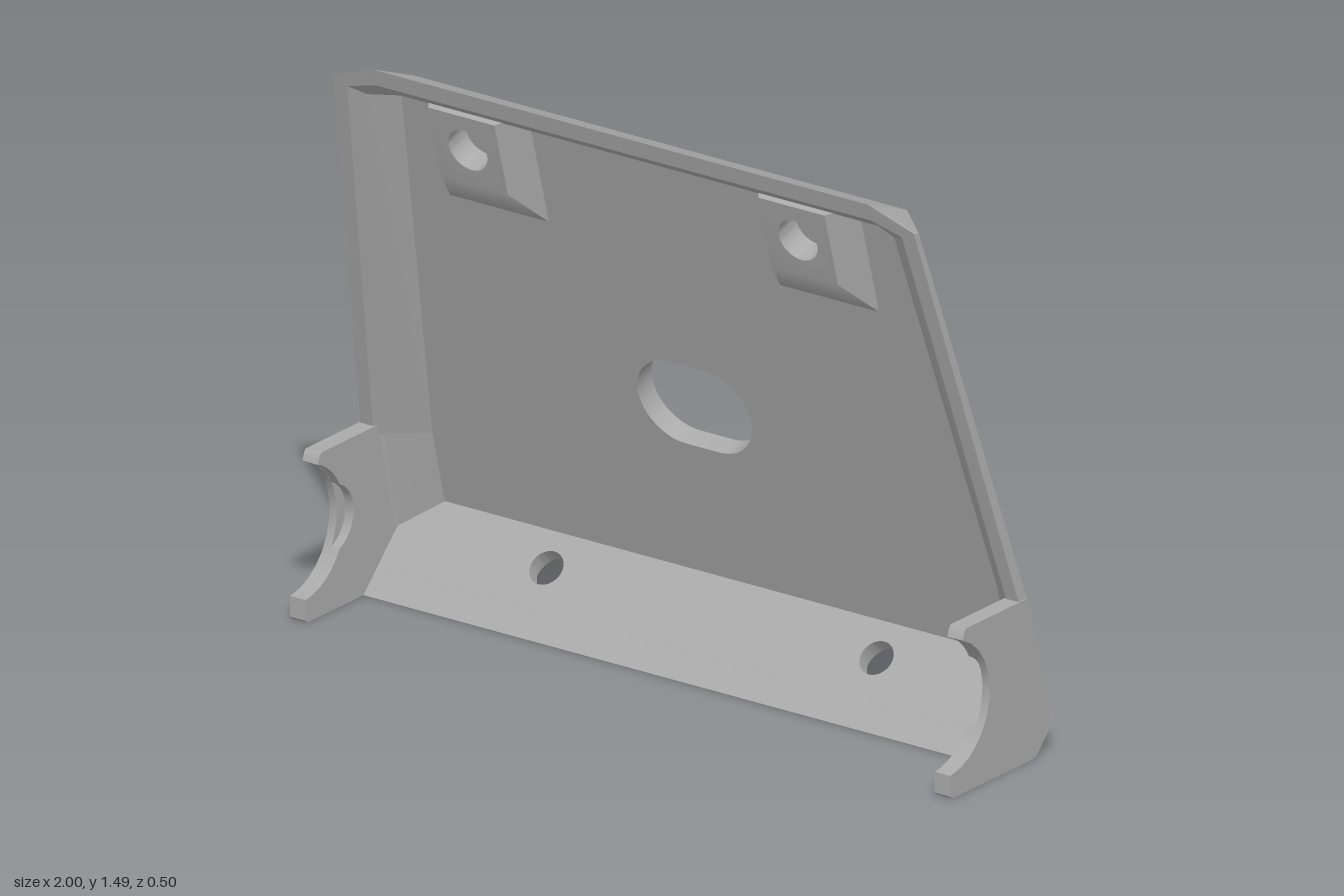
import * as THREE from 'three';
import { ConvexGeometry } from 'three/addons/geometries/ConvexGeometry.js';
import { toCreasedNormals } from 'three/addons/utils/BufferGeometryUtils.js';

const grey = new THREE.MeshStandardMaterial({ color: 0xaaaaaa });
grey.name = 'grey plastic';

const part = (name, geometry, parent) => {
  const mesh = new THREE.Mesh(geometry, grey);
  mesh.name = name;
  parent.add(mesh);
  return mesh;
};

// Convex solid around a few corner points
const hull = (points) => new ConvexGeometry(points.map((p) => new THREE.Vector3(...p)));

const polygon = (points) => new THREE.Shape(points.map((p) => new THREE.Vector2(...p)));

const extrude = (shape, depth) =>
  toCreasedNormals(new THREE.ExtrudeGeometry(shape, { depth, bevelEnabled: false, curveSegments: 20 }), 0.6);

const circle = (x, y, r) => new THREE.Path().absarc(x, y, r, 0, Math.PI * 2, true);

// Bar running along x from a list of [y, z] section points
const bar = (section, half) => hull([-half, half].flatMap((x) => section.map(([y, z]) => [x, y, z])));

// Points along an arc, in (z, y)
const arc = (cz, cy, r, a0, a1, n = 12) =>
  Array.from({ length: n + 1 }, (_, i) => {
    const a = a0 + ((a1 - a0) * i) / n;
    return [cz + r * Math.cos(a), cy + r * Math.sin(a)];
  });

// Arm outline in (z, y): bite is the list of points round the curved cutout
const armShape = (bite) => polygon([
  [-0.165, 0.075], [-0.1, 0.008], [-0.09, 0], [0.238, 0], [0.245, 0.007], [0.245, 0.061],
  ...bite, [0.187, 0.418], [0.18, 0.425], [-0.035, 0.425], [-0.068, 0.425],
]);

export function createModel() {
  const model = new THREE.Group();
  model.name = 'tiltedCover';

  // Sloping back panel, with its own frame: y up the slope, z out of the inner face
  const slope = new THREE.Group();
  slope.name = 'slopingBack';
  slope.position.set(0, 0.22, -0.25);
  slope.rotation.x = 0.271;
  model.add(slope);

  const panel = polygon([[-0.88, 0], [0.88, 0], [0.88, 0.187], [0.75, 1.251], [-0.75, 1.251], [-0.88, 0.187]]);
  const slot = new THREE.Path();
  slot.absarc(0.05, 0.507, 0.121, Math.PI / 2, -Math.PI / 2, true);
  slot.absarc(-0.05, 0.507, 0.121, -Math.PI / 2, -Math.PI * 1.5, true);
  slot.closePath();
  panel.holes.push(slot);
  part('backPanel', extrude(panel, 0.06), slope);

  // Screw bosses, flared where they meet the panel
  for (const s of [1, -1]) {
    const face = polygon([[-0.1, 1.075], [0.1, 1.075], [0.1, 1.28], [-0.1, 1.28]]);
    face.holes.push(circle(0, 1.18, 0.058));
    const raw = new THREE.ExtrudeGeometry(face, { depth: 0.072, bevelEnabled: false, curveSegments: 20 });
    const pos = raw.attributes.position;
    for (let i = 0; i < pos.count; i++) {
      if (pos.getZ(i) > 0.01) continue;
      const x = pos.getX(i), y = pos.getY(i);
      if (Math.abs(x) > 0.09) pos.setX(i, x + Math.sign(x) * 0.05);
      if (y < 1.09) pos.setY(i, y - 0.113);
    }
    part('screwBoss', toCreasedNormals(raw, 0.6), slope).position.set(0.5 * s, 0, 0.06);
  }

  // Slanted bottom wall in two layers, so that the screw holes are counterbored
  const bottom = new THREE.Group();
  bottom.name = 'bottomWall';
  bottom.position.set(0, 0, -0.1);
  bottom.rotation.x = -Math.PI / 4;
  model.add(bottom);
  for (const [name, w, depth, r] of [['bottomOuter', 0, 0.035, 0.07], ['bottomInner', 0.035, 0.043, 0.046]]) {
    const shape = polygon([[-1, 0], [1, 0], [1, 0.106], [0.88, 0.212], [-0.88, 0.212], [-1, 0.106]]);
    for (const s of [1, -1]) shape.holes.push(circle(0.5 * s, 0.113, r));
    part(name, extrude(shape, depth), bottom).position.z = w;
  }
  part('bottomEdge', bar([[0, -0.1], [0.055, -0.045], [0, 0.01]], 0.99), model);
  part('backCorner', bar([[0.15, -0.25], [0.22, -0.25], [0.205, -0.195]], 0.88), model);

  // Top wall
  const top = [[1.425, 0.085], [1.49, 0.245], [1.445, 0.233], [1.42, 0.2], [1.39, 0.135]];
  part('topWall', bar(top, 0.75), model);

  // Side walls: corners at the bottom, the kink and the top, from outer back round to inner back
  const stations = [
    [[0.88, 0.15, -0.25], [1, 0.075, -0.165], [1, 0.1, -0.125], [0.955, 0.1, -0.125], [0.95, 0.14, -0.13], [0.855, 0.205, -0.195]],
    [[0.88, 0.4, -0.2], [1, 0.4, -0.075], [1, 0.4, -0.042], [0.962, 0.4, -0.042], [0.945, 0.4, -0.065], [0.855, 0.4, -0.138]],
    [[0.75, 1.425, 0.085], [0.88, 1.435, 0.212], [0.88, 1.44, 0.232], [0.84, 1.42, 0.227], [0.8, 1.4, 0.2], [0.74, 1.39, 0.135]],
  ];
  const bigBite = (from, to) => arc(0.26, 0.235, 0.175, from, to);
  const plainBite = bigBite(-1.66, -4.33);
  const recessBite = [
    ...bigBite(-1.66, -2.647),
    ...arc(0.14, 0.235, 0.09, -1.958, -4.325),
    ...bigBite(-3.636, -4.33),
  ];

  for (const s of [1, -1]) {
    const side = new THREE.Group();
    side.name = s > 0 ? 'leftSide' : 'rightSide';
    model.add(side);
    const flip = (points) => points.map(([x, y, z]) => [x * s, y, z]);
    for (let i = 0; i < 2; i++) {
      const a = stations[i], b = stations[i + 1];
      const pick = (ids) => ids.flatMap((k) => [a[k], b[k]]);
      const extra = i === 0 ? [[0.88, 0.22, -0.25]] : [];
      part('sideChamfer', hull(flip([...pick([0, 1, 4, 5]), ...extra])), side);
      part('sideRim', hull(flip(pick([1, 2, 3, 4]))), side);
    }
    part('topCorner', hull(flip([...stations[2], ...top.map(([y, z]) => [0.75, y, z])])), side);

    // Arm with a curved cutout, recessed on its inner face
    for (const [name, bite, x, depth] of [['armOuter', plainBite, 1, 0.022], ['armInner', recessBite, 0.978, 0.025]]) {
      const arm = part(name, extrude(armShape(bite), depth), side);
      arm.rotation.y = -Math.PI / 2;
      arm.position.x = s > 0 ? x : depth - x;
    }
  }
  return model;
}
